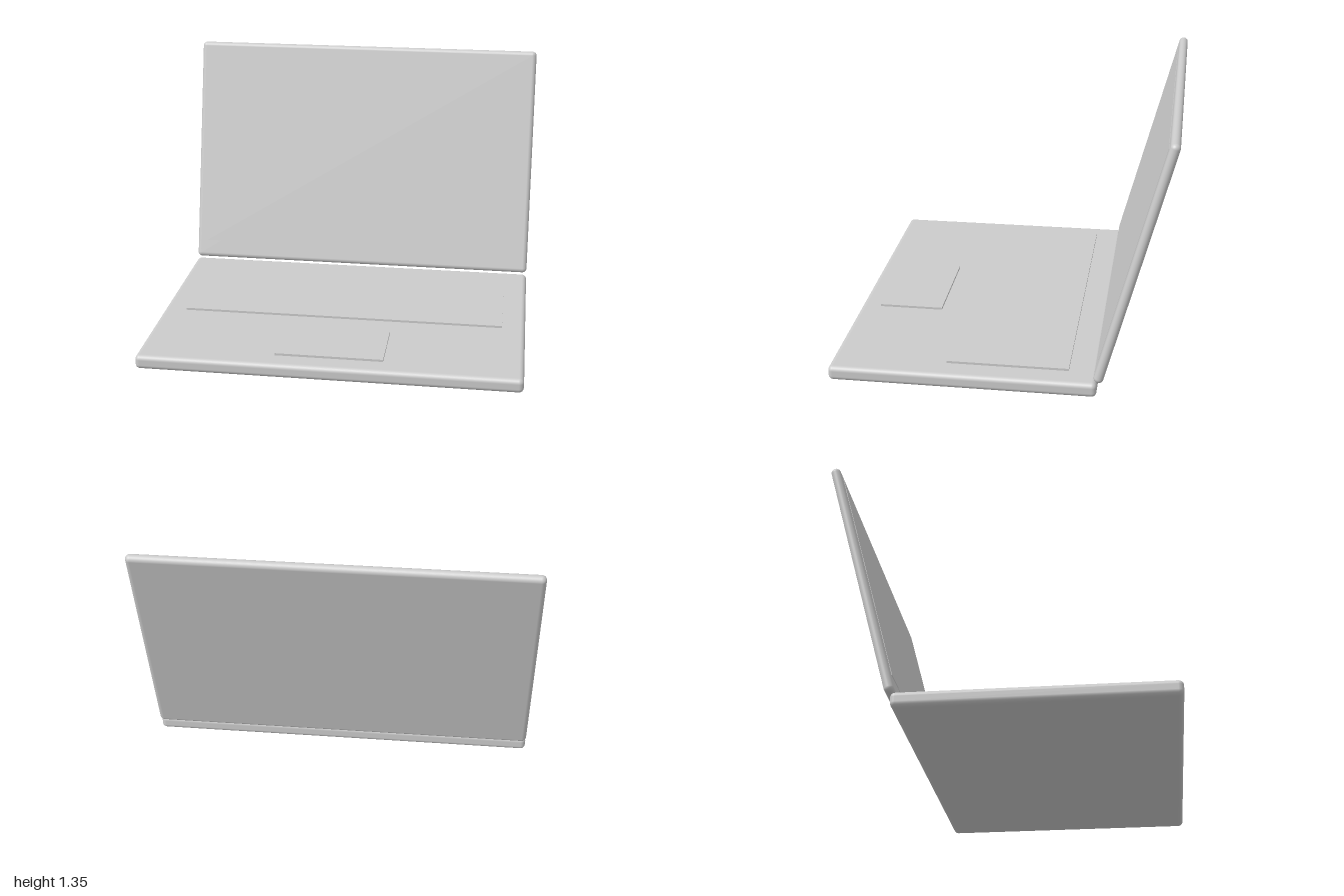
import * as THREE from 'three';
import { RoundedBoxGeometry } from 'three/addons/geometries/RoundedBoxGeometry.js';

const material = new THREE.MeshStandardMaterial({ color: 0xcccccc });

function addPart(parent, name, geometry, x, y, z) {
  const mesh = new THREE.Mesh(geometry, material);
  mesh.name = name;
  mesh.position.set(x, y, z);
  parent.add(mesh);
  return mesh;
}

export function createModel() {
  const model = new THREE.Group();
  model.name = 'laptop';

  // Base slab with rounded edges
  const baseHeight = 0.076;
  addPart(model, 'base', new RoundedBoxGeometry(2, baseHeight, 1.368, 4, 0.025), 0, baseHeight / 2, 0.18);

  // Thin plates on the base
  const plate = 0.012;
  const plateY = baseHeight + plate / 2;
  addPart(model, 'keyboardPanel', new THREE.BoxGeometry(1.75, plate, 0.626), 0, plateY, -0.042);
  addPart(model, 'trackpad', new THREE.BoxGeometry(0.564, plate, 0.344), 0, plateY, 0.583);

  // Lid, leaning back 15 degrees
  const lid = new THREE.Group();
  lid.name = 'lid';
  lid.position.set(0, 0.7125, -0.676);
  lid.rotation.x = -THREE.MathUtils.degToRad(15);
  model.add(lid);

  const lidDepth = 0.049;
  addPart(lid, 'lidShell', new RoundedBoxGeometry(2, 1.308, lidDepth, 4, 0.0244), 0, 0, 0);

  // Screen panel, almost flush with the front of the lid
  addPart(lid, 'screen', new THREE.BoxGeometry(1.88, 1.16, 0.006), 0, 0.028, lidDepth / 2 - 0.001);

  return model;
}
